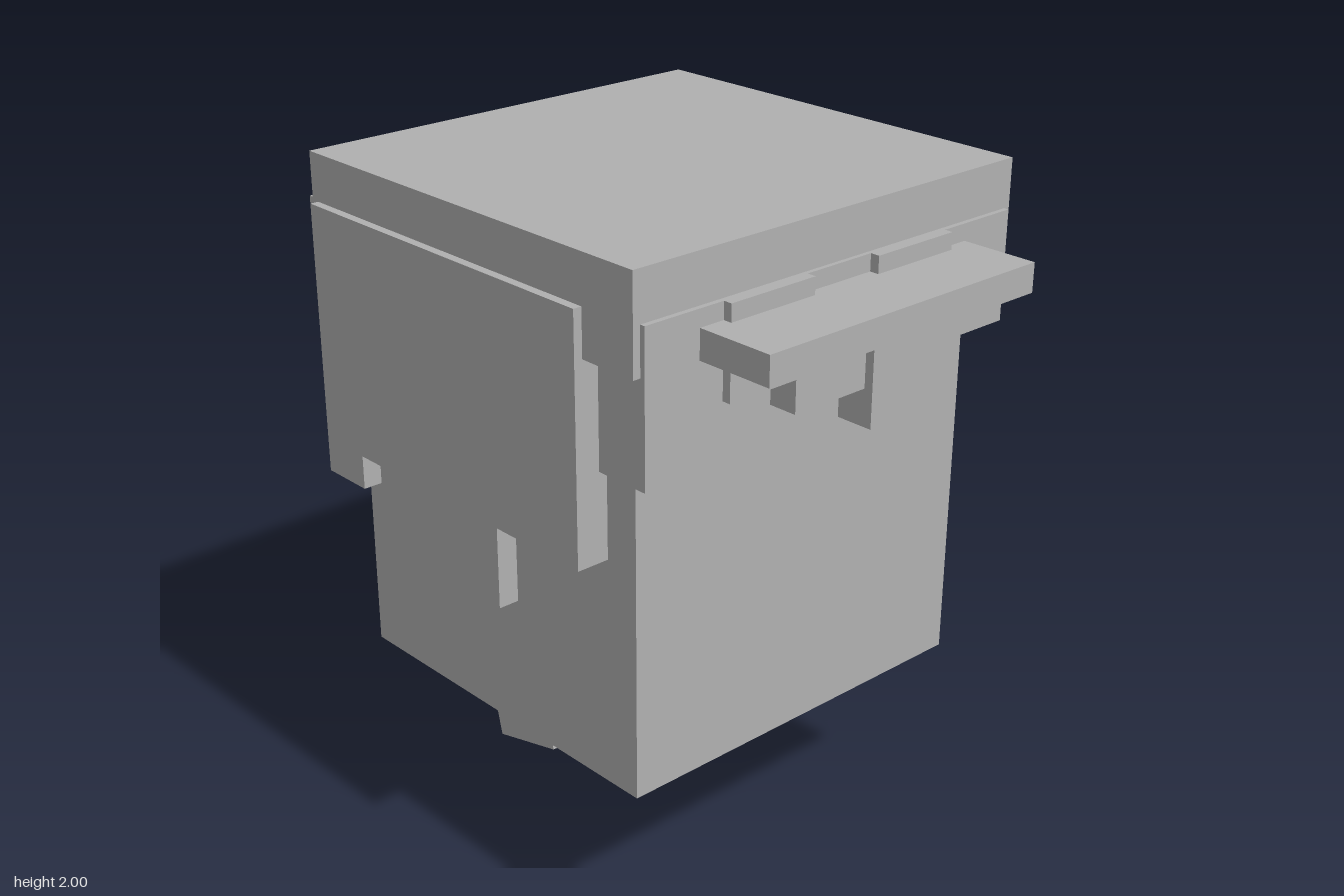
import * as THREE from 'three';

export function createModel() {
  const model = new THREE.Group();
  const grey = new THREE.MeshStandardMaterial({ color: 0xb0b0b0 });
  grey.name = 'plain grey';

  // Box from its extents on each axis
  function block(name, [x0, x1], [y0, y1], [z0, z1]) {
    const mesh = new THREE.Mesh(new THREE.BoxGeometry(x1 - x0, y1 - y0, z1 - z0), grey);
    mesh.position.set((x0 + x1) / 2, (y0 + y1) / 2, (z0 + z1) / 2);
    mesh.name = name;
    model.add(mesh);
    return mesh;
  }

  // Head and neck
  block('head', [-0.6, 0.595], [0.52, 1.9], [-0.56, 0.585]);
  block('neck', [-0.29, 0.285], [0.3, 0.54], [-0.263, 0.255]);

  // Hair: crown, back and sides
  block('hairCrown', [-0.672, 0.667], [1.733, 2], [-0.638, 0.66]);
  block('hairBack', [-0.658, 0.652], [1.045, 1.865], [-0.675, -0.505]);
  block('hairLeft', [0.53, 0.692], [1.178, 1.865], [-0.612, 0.48]);
  block('hairRight', [-0.697, -0.53], [1.178, 1.865], [-0.612, 0.48]);

  // Ears
  block('earLeft', [0.55, 0.657], [0.912, 1.25], [-0.09, 0.11]);
  block('earRight', [-0.662, -0.55], [0.912, 1.25], [-0.09, 0.11]);

  // Fringe locks: x start, x end, lower edge, front face
  const locks = [
    [-0.65, -0.375, 1.445, 0.675],
    [-0.4, -0.117, 1.61, 0.7],
    [-0.145, 0.13, 1.5, 0.673],
    [0.11, 0.39, 1.393, 0.7],
    [0.37, 0.647, 1.552, 0.675],
  ];
  locks.forEach(([x0, x1, bottom, front], i) =>
    block('fringeLock' + (i + 1), [x0, x1], [bottom, 1.865], [0.51, front]));

  // Headband visor
  block('visor', [-0.477, 0.472], [1.735, 1.817], [0.62, 0.905]);

  // Ponytail: tie and slanted tail
  block('ponytailTie', [-0.138, 0.133], [1.46, 1.695], [-0.818, -0.6]);
  const tail = block('ponytail', [-0.17, 0.165], [0.013, 1.467], [-0.73, -0.462]);
  tail.position.set(-0.0025, 0.738, -0.597);
  tail.rotation.x = -0.243;

  return model;
}
